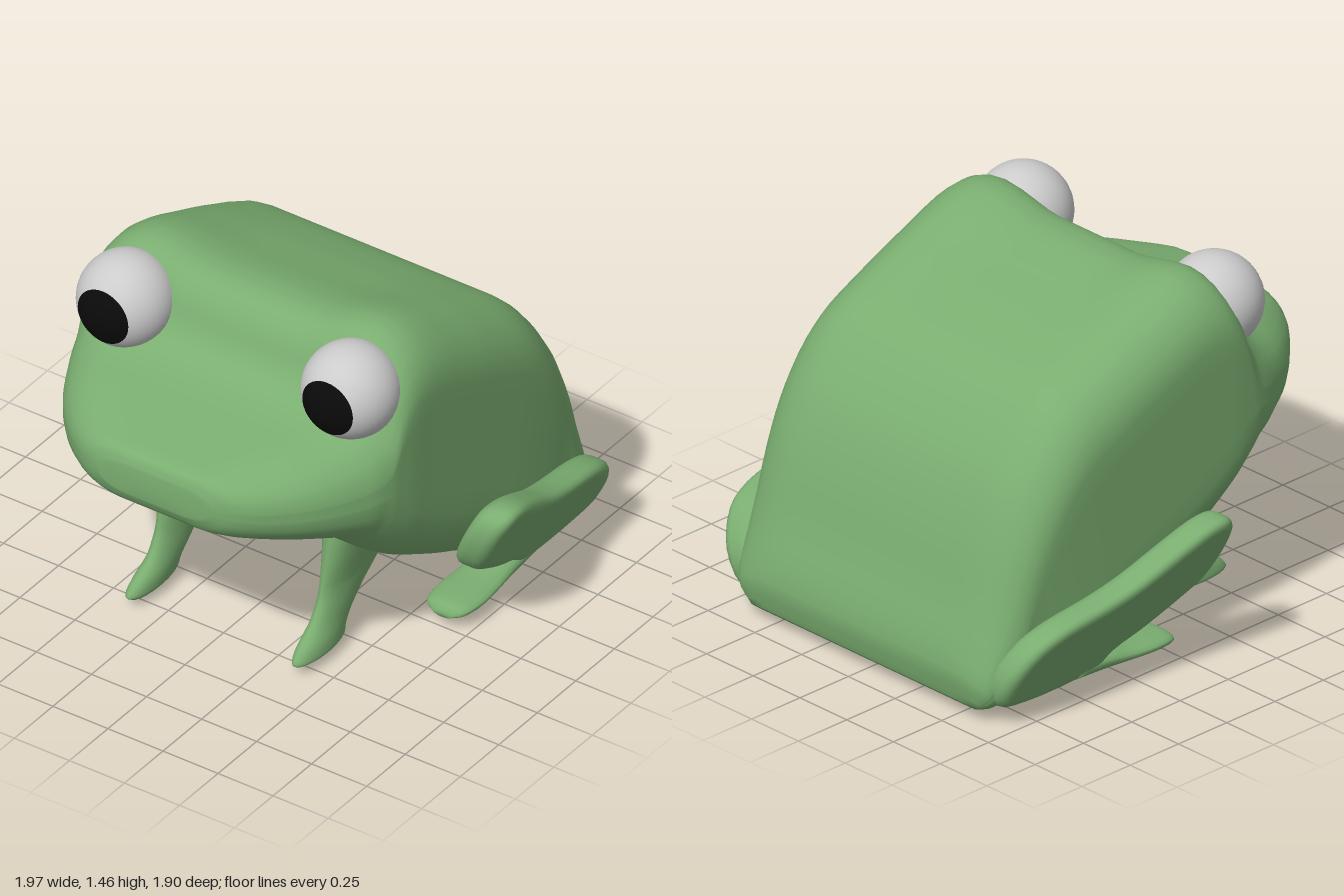
import * as THREE from 'three';
import { mergeVertices } from 'three/addons/utils/BufferGeometryUtils.js';

const green = new THREE.MeshStandardMaterial({ color: 0x7aad70 });
const grey = new THREE.MeshStandardMaterial({ color: 0xcccccc });
const black = new THREE.MeshStandardMaterial({ color: 0x0a0a0a });

// Reverse the winding of an indexed geometry
function flip(geo) {
  const a = geo.index.array;
  for (let i = 0; i < a.length; i += 3) [a[i], a[i + 1]] = [a[i + 1], a[i]];
  return geo;
}

// Closed skin over rings of equal length, capped at both ends
function loft(rings) {
  const n = rings[0].length, pts = rings.flat(), index = [];
  for (let r = 0; r < rings.length - 1; r++) {
    for (let i = 0; i < n; i++) {
      const a = r * n + i, b = r * n + (i + 1) % n;
      index.push(a, b, a + n, b, b + n, a + n);
    }
  }
  const last = (rings.length - 1) * n;
  const centre = ring => ring.reduce((s, p) => s.add(p), new THREE.Vector3()).divideScalar(n);
  const c0 = pts.push(centre(rings[0])) - 1;
  const c1 = pts.push(centre(rings[rings.length - 1])) - 1;
  for (let i = 0; i < n; i++) {
    const j = (i + 1) % n;
    index.push(c0, j, i, c1, last + i, last + j);
  }
  const geo = new THREE.BufferGeometry().setFromPoints(pts);
  geo.setIndex(index);
  // face outward whatever the ring direction
  let volume = 0;
  const cross = new THREE.Vector3();
  for (let i = 0; i < index.length; i += 3) {
    cross.crossVectors(pts[index[i + 1]], pts[index[i + 2]]);
    volume += pts[index[i]].dot(cross);
  }
  if (volume < 0) flip(geo);
  geo.computeVertexNormals();
  return geo;
}

// Smooth a coarse list of sections: [3 numbers] interpolated by position in the list
function smooth(list, steps) {
  const curve = new THREE.CatmullRomCurve3(list.map(p => new THREE.Vector3(...p)));
  return Array.from({ length: steps + 1 }, (_, i) => curve.getPoint(i / steps));
}

function ellipse(n, place) {
  return Array.from({ length: n }, (_, i) => {
    const a = i / n * Math.PI * 2;
    return place(Math.cos(a), Math.sin(a));
  });
}

// Rounded-rectangle section between a lower and an upper point of the side profile
function bodyRing(top, bottom) {
  const [tz, ty, w] = top.toArray(), [bz, by, dip] = bottom.toArray();
  const h = Math.hypot(tz - bz, ty - by);
  const ry = Math.min(0.25, h * 0.42), rx = Math.min(0.24, w * 0.5, h * 0.8 + 0.04);
  const flat = [];
  const corner = (sx, sy, start) => {
    for (let i = 0; i <= 6; i++) {
      const a = start + i / 6 * Math.PI / 2;
      flat.push([sx * (w - rx) + rx * Math.cos(a), sy * (h / 2 - ry) + ry * Math.sin(a)]);
    }
  };
  const edge = (x0, y0, x1, y1, n) => {
    for (let i = 1; i < n; i++) flat.push([x0 + (x1 - x0) * i / n, y0 + (y1 - y0) * i / n]);
  };
  const X = w - rx, Y = h / 2 - ry;
  corner(1, 1, 0);
  edge(X, h / 2, -X, h / 2, 14);
  corner(-1, 1, Math.PI / 2);
  edge(-w, Y, -w, -Y, 6);
  corner(-1, -1, Math.PI);
  edge(-X, -h / 2, X, -h / 2, 14);
  corner(1, -1, Math.PI * 1.5);
  edge(w, -Y, w, Y, 6);
  return flat.map(([x, y]) => {
    const v = y / h + 0.5;
    const sag = dip * v * (1 - THREE.MathUtils.smoothstep(Math.abs(x), 0.2, 0.5));
    return new THREE.Vector3(x, by + (ty - by) * v - sag, bz + (tz - bz) * v);
  });
}

function bodyGeometry() {
  // upper profile: z, y, half width
  const upper = [
    [0.955, 0.98, 0.24], [0.93, 1.03, 0.34], [0.85, 1.055, 0.46], [0.7, 1.09, 0.59],
    [0.51, 1.14, 0.69], [0.41, 1.23, 0.72], [0.34, 1.39, 0.73], [0.27, 1.455, 0.735],
    [0.15, 1.465, 0.735], [-0.1, 1.37, 0.735], [-0.3, 1.28, 0.735], [-0.52, 1.16, 0.735],
    [-0.68, 0.97, 0.73], [-0.79, 0.75, 0.72], [-0.88, 0.45, 0.71], [-0.95, 0.2, 0.67],
    [-0.93, 0.07, 0.6]];
  // lower profile: z, y, sag of the crown
  const lower = [
    [0.955, 0.86, 0], [0.92, 0.8, 0], [0.83, 0.755, 0], [0.7, 0.72, 0],
    [0.55, 0.675, 0], [0.47, 0.62, 0.02], [0.4, 0.56, 0.045], [0.33, 0.5, 0.05],
    [0.22, 0.42, 0.05], [0.03, 0.31, 0.03], [-0.15, 0.22, 0.01], [-0.33, 0.12, 0],
    [-0.47, 0.05, 0], [-0.6, 0.025, 0], [-0.75, 0.005, 0], [-0.87, 0.035, 0],
    [-0.91, 0.05, 0]];
  const a = smooth(upper, 64), b = smooth(lower, 64);
  return loft(a.map((p, i) => bodyRing(p, b[i])));
}

function frontLegGeometry() {
  // z centre, y, half length in z, matched with x centre and half width
  const depth = [[0.43, 0.038, 0.13], [0.425, 0.055, 0.158], [0.405, 0.09, 0.15], [0.335, 0.15, 0.13],
    [0.265, 0.23, 0.145], [0.205, 0.31, 0.185], [0.16, 0.48, 0.21], [0.15, 0.68, 0.2]];
  const width = [[0.375, 0.035, 0], [0.378, 0.05, 0], [0.375, 0.05, 0], [0.37, 0.047, 0],
    [0.37, 0.05, 0], [0.37, 0.058, 0], [0.385, 0.095, 0], [0.41, 0.17, 0]];
  const d = smooth(depth, 28), w = smooth(width, 28);
  return loft(d.map((p, i) => ellipse(20, (c, s) =>
    new THREE.Vector3(w[i].x + w[i].y * c, p.y, p.x + p.z * s))));
}

// Folded hind leg: bevelled slab drawn from the side, leaning outward with height
function thighGeometry() {
  const outline = [[0.08, 0.5], [0.075, 0.61], [0.03, 0.66], [-0.06, 0.655], [-0.2, 0.585],
    [-0.35, 0.5], [-0.5, 0.45], [-0.7, 0.41], [-0.82, 0.35], [-0.9, 0.22], [-0.885, 0.09],
    [-0.75, 0.055], [-0.5, 0.055], [-0.39, 0.075], [-0.34, 0.14], [-0.22, 0.195],
    [-0.06, 0.29], [0.03, 0.36]];
  const curve = new THREE.CatmullRomCurve3(
    outline.map(([z, y]) => new THREE.Vector3(-z, y, 0)), true);
  const pts = curve.getPoints(54).slice(0, -1).map(p => new THREE.Vector2(p.x, p.y));
  let geo = new THREE.ExtrudeGeometry(new THREE.Shape(pts), {
    depth: 0.05, bevelSize: 0.045, bevelOffset: -0.045, bevelThickness: 0.05, bevelSegments: 4 });
  geo.translate(0, 0, -0.025).rotateY(Math.PI / 2);
  geo.deleteAttribute('normal');
  geo.deleteAttribute('uv');
  geo = mergeVertices(geo, 1e-4);
  const p = geo.attributes.position;
  for (let i = 0; i < p.count; i++) p.setX(i, p.getX(i) + 0.65 + 0.49 * (p.getY(i) - 0.1));
  geo.computeVertexNormals();
  return geo;
}

function hindFootGeometry() {
  // z, half width, half height
  const sections = [[0.005, 0.04, 0.012], [-0.02, 0.085, 0.026], [-0.1, 0.105, 0.031],
    [-0.22, 0.1, 0.035], [-0.34, 0.09, 0.045], [-0.5, 0.08, 0.05]];
  return loft(smooth(sections, 20).map(p => ellipse(20, (c, s) =>
    new THREE.Vector3(0.645 + p.y * c + 0.2 * p.z * s, 0.053 + p.z * (1 + s), p.x))));
}

export function createModel() {
  const model = new THREE.Group();
  const add = (name, geo, material) => {
    const mesh = new THREE.Mesh(geo, material);
    mesh.name = name;
    model.add(mesh);
    return mesh;
  };
  const mirror = geo => {
    const copy = flip(geo.clone().scale(-1, 1, 1));
    copy.computeVertexNormals();
    return copy;
  };

  add('body', bodyGeometry(), green);

  // legs, built on the left and mirrored
  const legs = { FrontLeg: frontLegGeometry(), Thigh: thighGeometry(), HindFoot: hindFootGeometry() };
  for (const [name, geo] of Object.entries(legs)) {
    add('left' + name, geo, green);
    add('right' + name, mirror(geo), green);
  }

  // eyes with a black cap facing forward
  const eye = new THREE.SphereGeometry(0.19, 40, 28);
  const pupil = new THREE.SphereGeometry(0.192, 40, 10, 0, Math.PI * 2, 0, Math.asin(0.115 / 0.192));
  pupil.rotateX(Math.PI / 2);
  for (const [side, s] of [['left', 1], ['right', -1]]) {
    add(side + 'Eye', eye, grey).position.set(s * 0.51, 1.272, 0.4);
    add(side + 'Pupil', pupil, black).position.set(s * 0.51, 1.272, 0.4);
  }
  return model;
}
